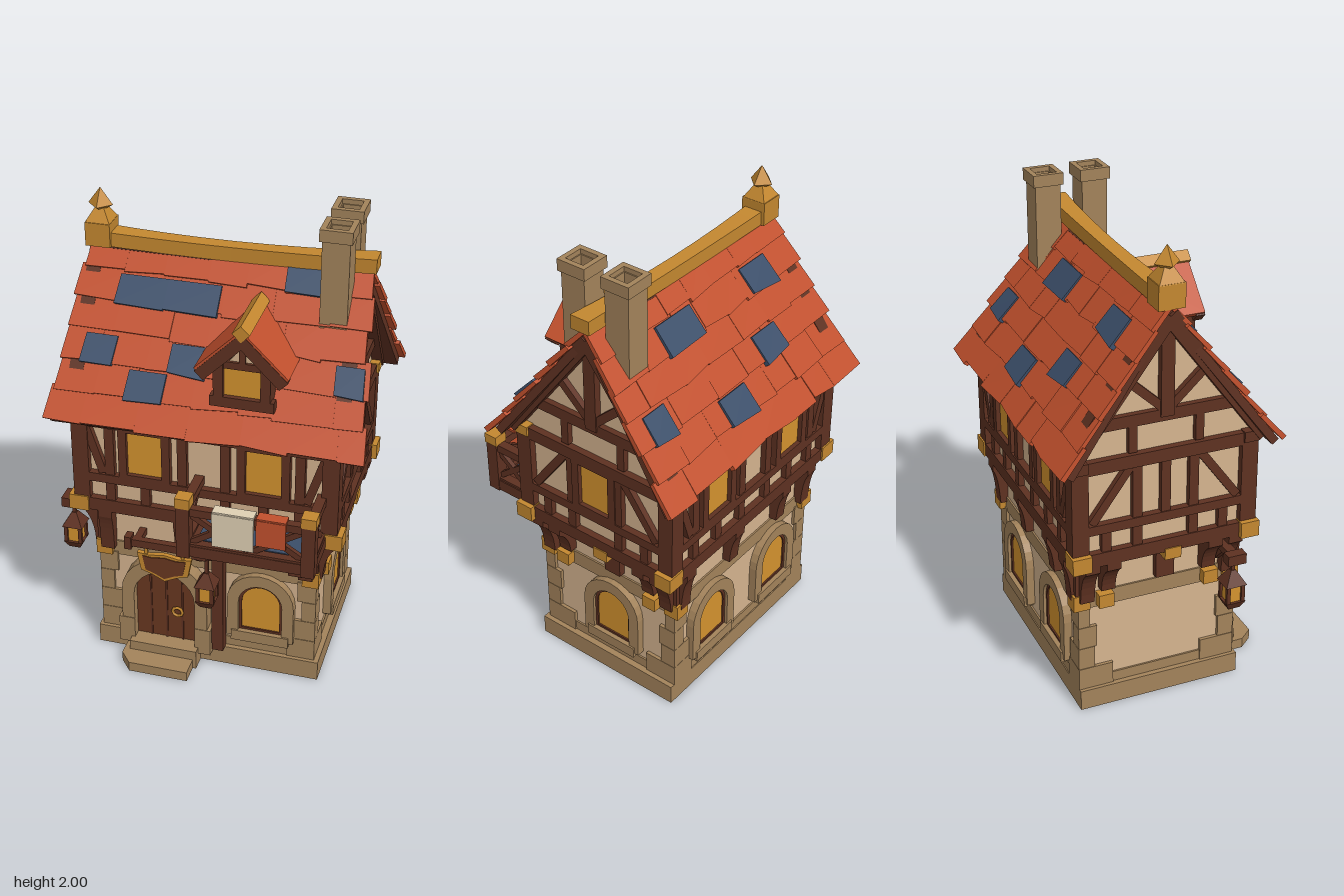
import * as THREE from 'three';

const mat = (name, color) => Object.assign(new THREE.MeshStandardMaterial({ color }), { name });
const ZC = -0.07; // house centre line

export function createModel() {
  const M = {
    wood: mat('dark timber', 0x5e3121), door: mat('door wood', 0x683720), plaster: mat('plaster', 0xd5b48f),
    stone: mat('stone', 0xa3835b), tile: mat('red tile', 0xc1502d), blue: mat('blue tile', 0x3b4e69),
    ochre: mat('ochre', 0xc48830), glass: mat('lit window', 0xd4932f), linen: mat('linen', 0xdfd0b4),
  };
  let seed = 7;
  const rnd = (a, b) => { seed = (seed * 16807) % 2147483647; return a + (b - a) * seed / 2147483647; };

  // ---- helpers ----
  const add = (parent, name, geo, m, x = 0, y = 0, z = 0) => {
    const mesh = new THREE.Mesh(geo, m);
    mesh.name = name; mesh.position.set(x, y, z); parent.add(mesh);
    return mesh;
  };
  const box = (p, name, m, w, h, d, x, y, z) => add(p, name, new THREE.BoxGeometry(w, h, d), m, x, y, z);
  const group = (p, name, x = 0, y = 0, z = 0, ry = 0) => {
    const g = new THREE.Group();
    g.name = name; g.position.set(x, y, z); g.rotation.y = ry; p.add(g);
    return g;
  };
  const strut = (p, x1, y1, x2, y2, z, w = 0.04, d = 0.04, m = M.wood, name = 'timber') => {
    const b = box(p, name, m, Math.hypot(x2 - x1, y2 - y1), w, d, (x1 + x2) / 2, (y1 + y2) / 2, z);
    b.rotation.z = Math.atan2(y2 - y1, x2 - x1);
    return b;
  };
  const poly = pts => new THREE.Shape(pts.map(p => new THREE.Vector2(...p)));
  const extrude = (shape, depth) => new THREE.ExtrudeGeometry(shape, { depth, bevelEnabled: false, curveSegments: 6 });
  const flat = geo => { const g = geo.toNonIndexed(); g.computeVertexNormals(); return g; };
  const arch = (w, h, y = 0) => {
    const s = new THREE.Shape();
    s.moveTo(-w / 2, y); s.lineTo(w / 2, y); s.lineTo(w / 2, h - w / 2);
    s.absarc(0, h - w / 2, w / 2, 0, Math.PI, false); s.closePath();
    return s;
  };
  const ring = (outer, inner, depth) => { outer.holes.push(inner); return extrude(outer, depth); };

  const root = new THREE.Group(); root.name = 'timberHouse';
  const house = group(root, 'house', 0, 0, ZC);

  // ---- main masses ----
  box(house, 'plinth', M.stone, 0.985, 0.09, 0.71, 0.003, 0.045, 0.013);
  box(house, 'groundWall', M.plaster, 0.92, 0.66, 0.67, 0, 0.41, 0.005);
  box(house, 'stoneCourse', M.stone, 0.935, 0.07, 0.685, 0, 0.51, 0.005);
  box(house, 'lowCourse', M.stone, 0.935, 0.05, 0.685, 0, 0.11, 0.005);
  box(house, 'upperWall', M.plaster, 1.06, 0.46, 0.73, 0, 0.96, 0);
  box(house, 'jettyFloor', M.wood, 1.1, 0.05, 0.75, 0, 0.745, 0);
  const attic = extrude(poly([[-0.365, 1.15], [0.365, 1.15], [0.365, 1.24], [0, 1.73], [-0.365, 1.24]]), 1.06);
  add(house, 'atticWall', attic.translate(0, 0, -0.53).rotateY(Math.PI / 2), M.plaster);

  // ---- stone corner blocks, corner posts and ochre corner joints ----
  for (const sx of [-1, 1]) for (const sz of [-1, 1]) {
    [[0.12, 0.15], [0.1, 0.07], [0.06, 0.08], [0.08, 0.05]].forEach(([a, b], i) =>
      box(house, 'cornerStone', M.stone, a, 0.098, b, sx * (0.475 - a / 2), 0.14 + i * 0.1, 0.005 + sz * (0.348 - b / 2)));
    box(house, 'cornerFoot', M.ochre, 0.07, 0.07, 0.07, sx * 0.45, 0.515, sz * 0.33);
    box(house, 'lowerPost', M.wood, 0.06, 0.2, 0.06, sx * 0.45, 0.64, sz * 0.325);
    box(house, 'upperPost', M.wood, 0.07, 0.44, 0.07, sx * 0.525, 0.96, sz * 0.36);
    box(house, 'cornerJoint', M.ochre, 0.085, 0.07, 0.08, sx * 0.54, 0.75, sz * 0.362);
    box(house, 'eaveJoint', sx > 0 ? M.ochre : M.wood, 0.06, 0.045, 0.065, sx * 0.54, 1.165, sz * 0.362);
  }

  // ---- repeated wall pieces, in face coordinates ----
  const bracket = (p, x, z, reach, y0 = 0.52) => {
    const s = new THREE.Shape();
    s.moveTo(0, y0); s.lineTo(0.035, y0);
    s.quadraticCurveTo(0.04, 0.65, reach, 0.69);
    s.lineTo(reach, 0.73); s.lineTo(0, 0.73); s.closePath();
    add(p, 'bracket', extrude(s, 0.06).translate(0, 0, -0.03).rotateY(-Math.PI / 2), M.wood, x, 0, z);
  };
  const archWindow = (p, x, z) => {
    const g = group(p, 'archWindow', x, 0.17, z);
    add(g, 'stoneSurround', ring(arch(0.29, 0.33), arch(0.19, 0.275, 0.03), 0.035), M.stone);
    add(g, 'windowFrame', ring(arch(0.195, 0.278, 0.028), arch(0.165, 0.262, 0.042), 0.022), M.wood);
    add(g, 'windowPane', extrude(arch(0.185, 0.272, 0.03), 0.009), M.glass, 0, 0, 0.006);
    box(g, 'sill', M.stone, 0.25, 0.05, 0.045, 0, 0.007, 0.02);
  };
  const squareWindow = (p, x, z) => {
    const g = group(p, 'upperWindow', x, 1.02, z);
    box(g, 'windowPane', M.glass, 0.15, 0.21, 0.009, 0, 0, 0.006);
    for (const s of [-1, 1]) {
      box(g, 'windowPost', M.wood, 0.035, 0.26, 0.04, s * 0.092, 0, 0.01);
      box(g, 'windowRail', M.wood, 0.2, 0.03, 0.04, 0, s * 0.115, 0.01);
    }
  };

  const faces = [['front', 0, 0.34, 0.365, 0.53], ['leftSide', Math.PI / 2, 0.46, 0.53, 0.365],
    ['back', Math.PI, 0.33, 0.365, 0.53], ['rightSide', -Math.PI / 2, 0.46, 0.53, 0.365]];
  for (const [name, ry, low, up, hw] of faces) {
    const f = group(house, name + 'Wall', 0, 0, 0, ry);
    const long = hw > 0.4, z = up + 0.005;
    for (const [y, h] of [[0.75, 0.06], [0.885, 0.04], [1.155, 0.055]]) box(f, 'rail', M.wood, hw * 2 + 0.02, h, 0.05, 0, y, z);
    const edge = long ? 0.43 : 0.31;
    for (const s of [-1, 1]) {
      bracket(f, s * edge, low, up - low + 0.03);
      if (long) { // studs and braces of the long walls
        for (const x of [0.09, 0.4]) strut(f, s * x, 0.76, s * x, 1.15, z);
        strut(f, s * 0.43, 0.91, s * 0.5, 1.13, z, 0.035);
        strut(f, s * 0.25, 0.77, s * 0.25, 0.89, z);
        squareWindow(f, s * 0.25, up);
      } else { // studs and braces of the short walls
        strut(f, s * 0.12, 0.76, s * 0.12, 1.15, z);
        strut(f, s * 0.31, 0.91, s * 0.15, 1.13, z, 0.035);
        strut(f, s * 0.25, 0.77, s * 0.25, 0.89, z);
        bracket(f, s * 0.22, low, up - low + 0.03, 0.56);
        box(f, 'bracketFoot', M.ochre, 0.065, 0.06, 0.06, s * 0.23, 0.515, low + 0.015);
      }
    }
    if (long) for (const x of [-0.1, 0.24]) bracket(f, x, low, up - low + 0.03, 0.55);
    else {
      box(f, 'beamEnd', M.ochre, 0.07, 0.05, 0.07, 0.03, 0.71, up);
      strut(f, 0.03, 0.56, 0.03, 0.7, low + 0.01, 0.08);
      // gable truss
      strut(f, -0.3, 1.325, 0.3, 1.325, z, 0.05);
      strut(f, 0, 1.32, 0, 1.74, z + 0.006, 0.055);
      for (const s of [-1, 1]) {
        strut(f, s * 0.42, 1.17, 0, 1.735, z + 0.012, 0.07, 0.06, M.wood, 'rafter');
        strut(f, s * 0.02, 1.36, s * 0.17, 1.5, z, 0.035);
        strut(f, s * 0.14, 1.19, s * 0.14, 1.31, z, 0.035);
      }
      if (name === 'leftSide') { squareWindow(f, 0, up); archWindow(f, 0.02, low); }
      else strut(f, 0, 0.9, 0, 1.15, z);
    }
    if (name === 'back') for (const x of [-0.23, 0.22]) archWindow(f, x, low);
    if (name === 'front') archWindow(f, 0.24, low);
  }

  // ---- tiled roof: rows of skewed slabs on each slope ----
  const RUN = 0.45, Y0 = 1.17, RISE = 0.61;
  const slab = (p, name, m, x0, x1, s0, s1, n) => { // n: heights [bottom low, bottom high, top low, top high]
    const geo = new THREE.BoxGeometry(1, 1, 1), a = geo.attributes.position;
    const dip = [rnd(-0.014, 0.014), rnd(-0.014, 0.014)];
    for (let i = 0; i < a.count; i++) {
      const right = a.getX(i) > 0, high = a.getY(i) > 0, bottom = a.getZ(i) > 0;
      const s = bottom ? s0 + dip[+right] : s1;
      const h = n[(bottom ? 0 : 2) + (high ? 1 : 0)];
      a.setXYZ(i, (right ? x1 : x0) * (0.65 - 0.07 * s) / 0.65, Y0 + RISE * s + h * 0.6, RUN * (1 - s) + h * 0.8);
    }
    add(p, name, flat(geo), m);
  };
  const blueTiles = [
    [[4, -0.47, -0.25], [4, -0.25, -0.01], [5, 0.27, 0.44], [2, -0.56, -0.42], [2, 0.52, 0.64], [2, -0.18, -0.02], [1, -0.34, -0.18]],
    [[1, -0.17, 0], [2, -0.57, -0.44], [2, 0.16, 0.32], [4, 0.29, 0.47], [4, -0.3, -0.07]],
  ];
  blueTiles.forEach((blues, k) => {
    const slope = group(house, k ? 'backRoof' : 'frontRoof', 0.005, 0, 0, k * Math.PI);
    slab(slope, 'roofBoards', M.wood, -0.63, 0.63, 0.01, 1, [-0.04, -0.006, -0.04, -0.006]);
    for (let r = 0; r < 6; r++) {
      let x = -0.65 + rnd(-0.012, 0.012);
      while (x < 0.63) {
        let e = x + rnd(0.13, 0.26);
        if (e > 0.57) e = 0.65 + rnd(-0.012, 0.012);
        const t = rnd(0, 0.006);
        slab(slope, 'roofTile', M.tile, x, e, r / 6, Math.min(1, (r + 1.15) / 6), [0, 0.018 + t, -0.01, 0.004 + t]);
        x = e;
      }
    }
    for (const [r, a, b] of blues) slab(slope, 'blueTile', M.blue, a, b, r / 6 - 0.01, (r + 0.92) / 6, [0.005, 0.032, 0, 0.018]);
  });

  // ---- ridge cap (sagging), end block and finial ----
  const cap = new THREE.BoxGeometry(1.17, 0.06, 0.085, 8, 1, 1), cp = cap.attributes.position;
  for (let i = 0; i < cp.count; i++) {
    const x = cp.getX(i);
    cp.setY(i, cp.getY(i) + 0.05 * x * x + 0.015 * x);
    cp.setZ(i, cp.getZ(i) * (0.75 + 0.8 * x * x));
  }
  add(house, 'ridgeCap', flat(cap), M.ochre, 0.015, 1.79, 0);
  box(house, 'ridgeBlock', M.ochre, 0.105, 0.1, 0.11, -0.535, 1.815, 0);
  add(house, 'finialNeck', flat(new THREE.CylinderGeometry(0.025, 0.075, 0.06, 4).rotateY(Math.PI / 4)), M.ochre, -0.535, 1.892, 0);
  const finial = [[0.001, 0], [0.052, 0.03], [0.001, 0.1]].map(p => new THREE.Vector2(...p));
  add(house, 'finial', flat(new THREE.LatheGeometry(finial, 4)), M.ochre, -0.535, 1.9, 0);

  // ---- hollow chimneys ----
  const squareTube = (w, hole, h) => {
    const sq = r => poly([[-r, -r], [r, -r], [r, r], [-r, r]]);
    return ring(sq(w / 2), sq(hole / 2), h).rotateX(-Math.PI / 2);
  };
  for (const z of [0.1, -0.105]) {
    add(house, 'chimney', squareTube(0.11, 0.075, 0.4), M.stone, 0.46, 1.58, z);
    add(house, 'chimneyCap', squareTube(0.13, 0.085, 0.05), M.stone, 0.46, 1.95, z);
  }
  box(house, 'chimneyPlug', M.stone, 0.08, 0.04, 0.08, 0.46, 1.88, 0.1);

  // ---- dormer ----
  const dormer = group(root, 'dormer', 0.16, 0, 0);
  add(dormer, 'dormerBody', extrude(poly([[-0.115, 1.3], [0.115, 1.3], [0.115, 1.47], [0, 1.61], [-0.115, 1.47]]), 0.29), M.wood, 0, 0, 0.01);
  add(dormer, 'dormerPlaster', extrude(poly([[-0.055, 1.51], [0.055, 1.51], [0, 1.575]]), 0.008), M.plaster, 0, 0, 0.3);
  box(dormer, 'dormerPane', M.glass, 0.15, 0.125, 0.009, 0, 1.42, 0.304);
  strut(dormer, -0.13, 1.335, 0.13, 1.335, 0.31, 0.045);
  strut(dormer, -0.11, 1.495, 0.11, 1.495, 0.305, 0.03, 0.03);
  strut(dormer, 0, 1.5, 0, 1.58, 0.305, 0.025, 0.03);
  for (const s of [-1, 1]) {
    strut(dormer, s * 0.095, 1.32, s * 0.095, 1.5, 0.31, 0.04);
    strut(dormer, s * 0.17, 1.445, 0, 1.615, 0.322, 0.05, 0.04, M.wood, 'bargeBoard');
    strut(dormer, s * 0.18, 1.465, 0, 1.642, 0.19, 0.028, 0.3, M.tile, 'dormerRoof');
  }
  box(dormer, 'dormerRidge', M.ochre, 0.05, 0.05, 0.31, 0, 1.648, 0.19).rotation.z = Math.PI / 4;

  // ---- door, steps and side post ----
  const door = group(root, 'doorway', -0.175, 0.08, 0.27);
  add(door, 'doorSurround', ring(arch(0.38, 0.44, -0.02), arch(0.27, 0.375, 0), 0.065), M.stone);
  add(door, 'doorLeaf', extrude(arch(0.275, 0.377), 0.025), M.door);
  for (const x of [-0.07, 0, 0.07]) box(door, 'doorGap', M.wood, 0.008, 0.32, 0.008, x, 0.17, 0.026);
  add(door, 'doorKnocker', new THREE.TorusGeometry(0.022, 0.007, 5, 8), M.ochre, 0.05, 0.16, 0.035);
  for (const s of [-1, 1]) box(door, 'doorFoot', M.stone, 0.07, 0.13, 0.075, s * 0.17, 0.045, 0.03);
  add(root, 'lowerStep', extrude(poly([[-0.35, -0.25], [-0.35, -0.4], [-0.3, -0.46], [-0.04, -0.46], [-0.04, -0.25]]), 0.045).rotateX(-Math.PI / 2), M.stone);
  box(root, 'upperStep', M.stone, 0.3, 0.09, 0.12, -0.175, 0.045, 0.31);
  box(root, 'sidePost', M.wood, 0.05, 0.64, 0.05, 0.06, 0.41, 0.305);

  // ---- balcony ----
  const balcony = group(root, 'balcony', 0.235, 0, 0);
  box(balcony, 'balconyFloor', M.wood, 0.56, 0.05, 0.24, 0, 0.75, 0.42);
  box(balcony, 'balconyMat', M.blue, 0.42, 0.009, 0.18, 0, 0.779, 0.405);
  for (const y of [0.755, 0.935]) box(balcony, 'frontRail', M.wood, 0.54, y < 0.8 ? 0.06 : 0.035, 0.035, 0, y, 0.52);
  strut(balcony, 0, 0.77, 0, 0.93, 0.515, 0.03, 0.03);
  for (const s of [-1, 1]) {
    box(balcony, 'balconyPost', M.wood, 0.055, 0.25, 0.055, s * 0.255, 0.845, 0.52);
    box(balcony, 'postCap', M.ochre, 0.062, 0.045, 0.062, s * 0.255, 0.978, 0.52);
    for (const t of [-1, 1]) strut(balcony, s * 0.125 - 0.11, 0.85 - t * 0.07, s * 0.125 + 0.11, 0.85 + t * 0.07, 0.515, 0.025, 0.02);
    const side = group(balcony, 'balconySide', s * 0.255, 0, 0.42, Math.PI / 2);
    strut(side, -0.12, 0.755, 0.12, 0.755, 0, 0.06);
    strut(side, -0.12, 0.94, 0.12, 0.94, 0, 0.035);
    for (const t of [-1, 1]) strut(side, -0.09, 0.85 - t * 0.07, 0.09, 0.85 + t * 0.07, 0, 0.025, 0.02);
    bracket(balcony, s * 0.2, 0.27, 0.24, 0.54);
  }
  const cloth = (m, w, h, x) => {
    box(balcony, 'hangingCloth', m, w, h, 0.009, x, 0.955 - h / 2, 0.543);
    box(balcony, 'clothFold', m, w, 0.009, 0.05, x, 0.957, 0.52);
  };
  cloth(M.linen, 0.17, 0.155, -0.05);
  cloth(M.tile, 0.12, 0.12, 0.105);

  // ---- hanging sign ----
  const sign = group(root, 'sign', -0.16, 0.515, 0.355);
  const shield = k => poly([[-0.11, 0.05], [-0.06, 0.045], [0, 0.055], [0.06, 0.045], [0.11, 0.05], [0.095, -0.03], [0.05, -0.045], [0, -0.07], [-0.05, -0.045], [-0.095, -0.03]].map(p => p.map(v => v * k)));
  add(sign, 'signRim', extrude(shield(1.08), 0.02), M.ochre, 0, 0, -0.01);
  add(sign, 'signBoard', extrude(shield(0.86), 0.028), M.door, 0, 0, -0.014);
  strut(sign, -0.16, 0.1, 0.16, 0.1, 0, 0.035, 0.03);
  for (const s of [-1, 1]) {
    box(sign, 'signArm', M.wood, 0.03, 0.03, 0.09, s * 0.12, 0.1, -0.04);
    box(sign, 'signPoleEnd', M.wood, 0.03, 0.06, 0.045, s * 0.155, 0.1, 0);
    box(sign, 'signChain', M.ochre, 0.012, 0.06, 0.012, s * 0.08, 0.07, 0);
  }

  // ---- lanterns ----
  const lantern = (x, y, z, k) => {
    const g = group(root, 'lantern', x, y, z); g.scale.setScalar(k);
    box(g, 'lanternHook', M.wood, 0.015, 0.07, 0.015, 0, 0.03, 0);
    add(g, 'lanternCap', flat(new THREE.CylinderGeometry(0.015, 0.065, 0.06, 4).rotateY(Math.PI / 4)), M.wood, 0, -0.025, 0);
    box(g, 'lanternGlass', M.glass, 0.06, 0.085, 0.06, 0, -0.095, 0);
    for (const a of [-1, 1]) for (const b of [-1, 1]) box(g, 'lanternBar', M.wood, 0.016, 0.09, 0.016, a * 0.032, -0.095, b * 0.032);
    add(g, 'lanternBase', flat(new THREE.CylinderGeometry(0.06, 0.035, 0.035, 4).rotateY(Math.PI / 4)), M.wood, 0, -0.15, 0);
  };
  lantern(-0.615, 0.6, 0.2, 1);
  lantern(0.06, 0.61, 0.48, 0.95);
  strut(root, 0.06, 0.64, 0.06, 0.74, 0.48, 0.015, 0.015);
  strut(root, -0.45, 0.67, -0.63, 0.67, 0.2, 0.03, 0.04);
  box(root, 'lanternArmEnd', M.wood, 0.045, 0.045, 0.08, -0.635, 0.67, 0.2);
  strut(root, -0.47, 0.59, -0.54, 0.66, 0.2, 0.025, 0.03);
  return root;
}
